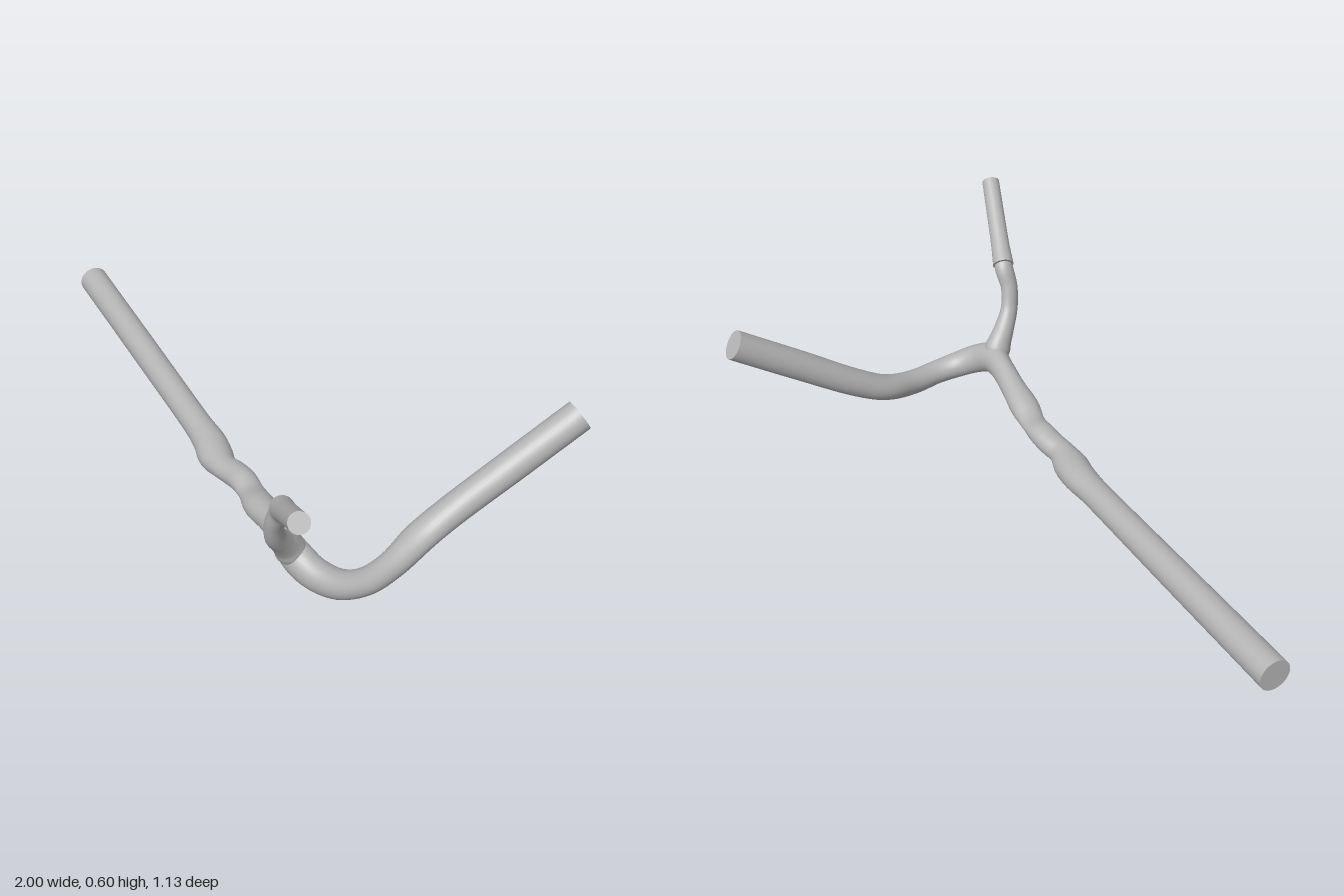
import * as THREE from 'three';

const SIDES = 28;

// Sweep an oval section along a smooth path.
// Each row: x, y, z, sideways radius, vertical radius.
function sweep(rows, ref, perSegment = 8) {
  const path = new THREE.CatmullRomCurve3(rows.map(r => new THREE.Vector3(r[0], r[1], r[2])), false, 'centripetal');
  const radii = new THREE.CatmullRomCurve3(rows.map((r, i) => new THREE.Vector3(r[3], r[4], i * 0.08)), false, 'centripetal');
  const steps = (rows.length - 1) * perSegment;
  const pos = [], index = [], rings = [];
  for (let i = 0; i <= steps; i++) {
    const c = path.getPoint(i / steps), t = path.getTangent(i / steps), r = radii.getPoint(i / steps);
    const side = new THREE.Vector3().crossVectors(ref, t).normalize();
    const up = new THREE.Vector3().crossVectors(t, side);
    const ring = [];
    for (let j = 0; j < SIDES; j++) {
      const a = j / SIDES * Math.PI * 2;
      const p = c.clone().addScaledVector(side, Math.cos(a) * r.x).addScaledVector(up, Math.sin(a) * r.y);
      ring.push(p);
      pos.push(p.x, p.y, p.z);
      if (i < steps) {
        const k = (j + 1) % SIDES, A = i * SIDES + j, B = i * SIDES + k;
        index.push(A, B, A + SIDES, B, B + SIDES, A + SIDES);
      }
    }
    rings.push({ c, ring });
  }
  // flat end caps with their own vertices
  for (const [{ c, ring }, first] of [[rings[0], true], [rings[steps], false]]) {
    const base = pos.length / 3;
    pos.push(c.x, c.y, c.z);
    ring.forEach(p => pos.push(p.x, p.y, p.z));
    for (let j = 0; j < SIDES; j++) {
      const A = base + 1 + j, B = base + 1 + (j + 1) % SIDES;
      if (first) index.push(base, B, A); else index.push(base, A, B);
    }
  }
  const g = new THREE.BufferGeometry();
  g.setAttribute('position', new THREE.Float32BufferAttribute(pos, 3));
  g.setIndex(index);
  g.computeVertexNormals();
  return g;
}

export function createModel() {
  const group = new THREE.Group();
  const grey = new THREE.MeshStandardMaterial({ color: 0xb4b4b4 });
  const add = (name, rows, ref) => {
    const m = new THREE.Mesh(sweep(rows, ref), grey);
    m.name = name;
    group.add(m);
  };
  const Y = new THREE.Vector3(0, 1, 0), X = new THREE.Vector3(1, 0, 0);

  // long straight vessel, uneven middle, then the bend into the thick branch
  add('mainVessel', [
    [-0.983, 0.092, -0.388, 0.049, 0.049],
    [-0.55, 0.075, -0.226, 0.047, 0.048],
    [-0.12, 0.058, -0.064, 0.046, 0.044],
    [-0.02, 0.053, -0.025, 0.053, 0.046],
    [0.04, 0.048, 0.008, 0.055, 0.047],
    [0.10, 0.056, 0.034, 0.043, 0.038],
    [0.15, 0.063, 0.042, 0.043, 0.038],
    [0.20, 0.071, 0.055, 0.043, 0.036],
    [0.26, 0.073, 0.08, 0.041, 0.027],
    [0.33, 0.084, 0.118, 0.048, 0.039],
    [0.41, 0.102, 0.155, 0.041, 0.041],
    [0.50, 0.118, 0.20, 0.039, 0.046],
    [0.575, 0.116, 0.233, 0.046, 0.052],
    [0.64, 0.09, 0.23, 0.046, 0.049],
    [0.70, 0.06, 0.19, 0.044, 0.044],
    [0.737, 0.048, 0.12, 0.042, 0.039],
    [0.75, 0.054, 0.02, 0.042, 0.041],
    [0.757, 0.092, -0.10, 0.049, 0.042],
    [0.787, 0.147, -0.195, 0.048, 0.045],
    [0.87, 0.272, -0.366, 0.048, 0.048],
    [0.954, 0.398, -0.537, 0.048, 0.048],
  ], Y);

  // thin rising branch with a flared root
  add('thinBranch', [
    [0.570, 0.115, 0.232, 0.036, 0.036],
    [0.569, 0.145, 0.250, 0.046, 0.043],
    [0.570, 0.172, 0.267, 0.042, 0.038],
    [0.575, 0.205, 0.295, 0.035, 0.033],
    [0.588, 0.26, 0.338, 0.031, 0.027],
    [0.605, 0.33, 0.36, 0.03, 0.027],
    [0.63, 0.385, 0.366, 0.032, 0.03],
    [0.65, 0.411, 0.38, 0.03, 0.03],
  ], X);

  // straight tip, meeting the thin branch at a sharp kink
  add('thinBranchTip', [
    [0.636, 0.401, 0.368, 0.035, 0.035],
    [0.69, 0.447, 0.413, 0.031, 0.031],
    [0.843, 0.58, 0.541, 0.029, 0.029],
  ], Y);
  return group;
}
